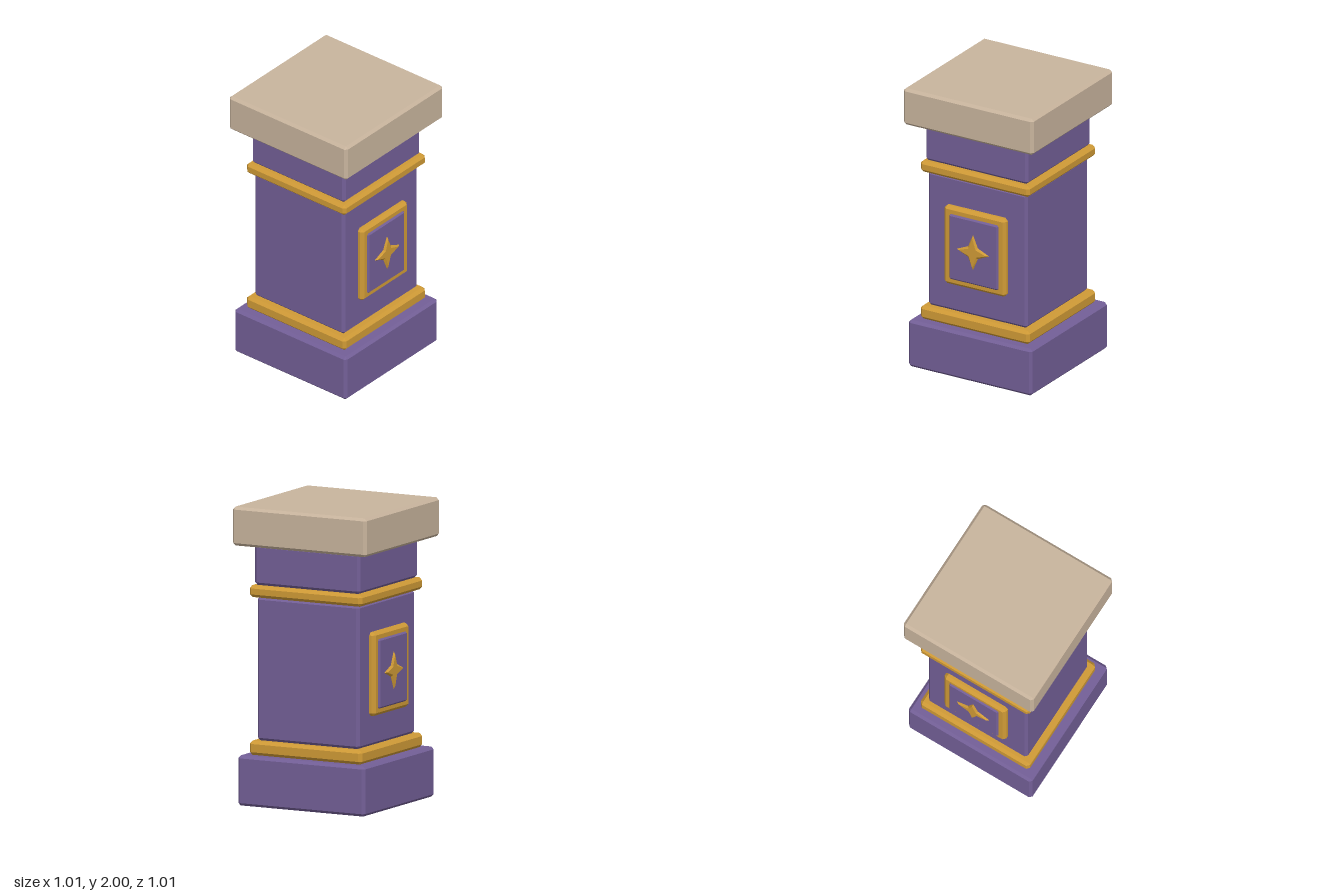
import * as THREE from 'three';
import { ConvexGeometry } from 'three/addons/geometries/ConvexGeometry.js';

const material = (name, color) => {
  const m = new THREE.MeshStandardMaterial({ color });
  m.name = name;
  return m;
};

// Box with flat chamfered edges, centred on the origin
function chamferBox(w, h, d, c) {
  const points = [];
  const [x, y, z] = [w / 2, h / 2, d / 2];
  for (const sx of [-1, 1]) for (const sy of [-1, 1]) for (const sz of [-1, 1]) {
    points.push(
      new THREE.Vector3(sx * x, sy * (y - c), sz * (z - c)),
      new THREE.Vector3(sx * (x - c), sy * y, sz * (z - c)),
      new THREE.Vector3(sx * (x - c), sy * (y - c), sz * z)
    );
  }
  return new ConvexGeometry(points);
}

// Four-pointed star with a bevelled rim
function starGeometry() {
  const shape = new THREE.Shape();
  for (let i = 0; i < 8; i++) {
    const r = i % 2 ? 0.038 : 0.106;
    const a = (i * Math.PI) / 4;
    const [x, y] = [r * Math.cos(a), r * Math.sin(a)];
    if (i) shape.lineTo(x, y); else shape.moveTo(x, y);
  }
  shape.closePath();
  return new THREE.ExtrudeGeometry(shape, {
    depth: 0.018, bevelEnabled: true, bevelThickness: 0.012, bevelSize: 0.014, bevelSegments: 1
  });
}

export function createModel() {
  const purple = material('purple', 0x735f97);
  const gold = material('gold', 0xcf9a36);
  const stone = material('stone', 0xc8b49d);

  const model = new THREE.Group();
  model.name = 'pedestal';

  const add = (parent, name, geometry, mat, x, y, z) => {
    const mesh = new THREE.Mesh(geometry, mat);
    mesh.name = name;
    mesh.position.set(x, y, z);
    parent.add(mesh);
  };

  // Stacked square blocks: name, material, half width, bottom, top, chamfer
  const blocks = [
    ['base', purple, 0.48, 0, 0.335, 0.018],
    ['lowerBand', gold, 0.425, 0.335, 0.43, 0.02],
    ['shaft', purple, 0.385, 0.43, 1.39, 0.018],
    ['upperBand', gold, 0.425, 1.39, 1.47, 0.02],
    ['neck', purple, 0.398, 1.47, 1.74, 0.018],
    ['cap', stone, 0.505, 1.74, 2, 0.018]
  ];
  for (const [name, mat, half, y0, y1, c] of blocks) {
    add(model, name, chamferBox(half * 2, y1 - y0, half * 2, c), mat, 0, (y0 + y1) / 2, 0);
  }

  // Star panel on the front and the back
  for (const side of ['front', 'back']) {
    const panel = new THREE.Group();
    panel.name = side + 'Panel';
    add(panel, 'panelFrame', chamferBox(0.48, 0.56, 0.06, 0.02), gold, 0, 0.912, 0.394);
    add(panel, 'panelField', chamferBox(0.39, 0.474, 0.05, 0.015), purple, 0, 0.91, 0.41);
    add(panel, 'star', starGeometry(), gold, 0, 0.91, 0.418);
    if (side === 'back') panel.rotation.y = Math.PI;
    model.add(panel);
  }
  return model;
}
